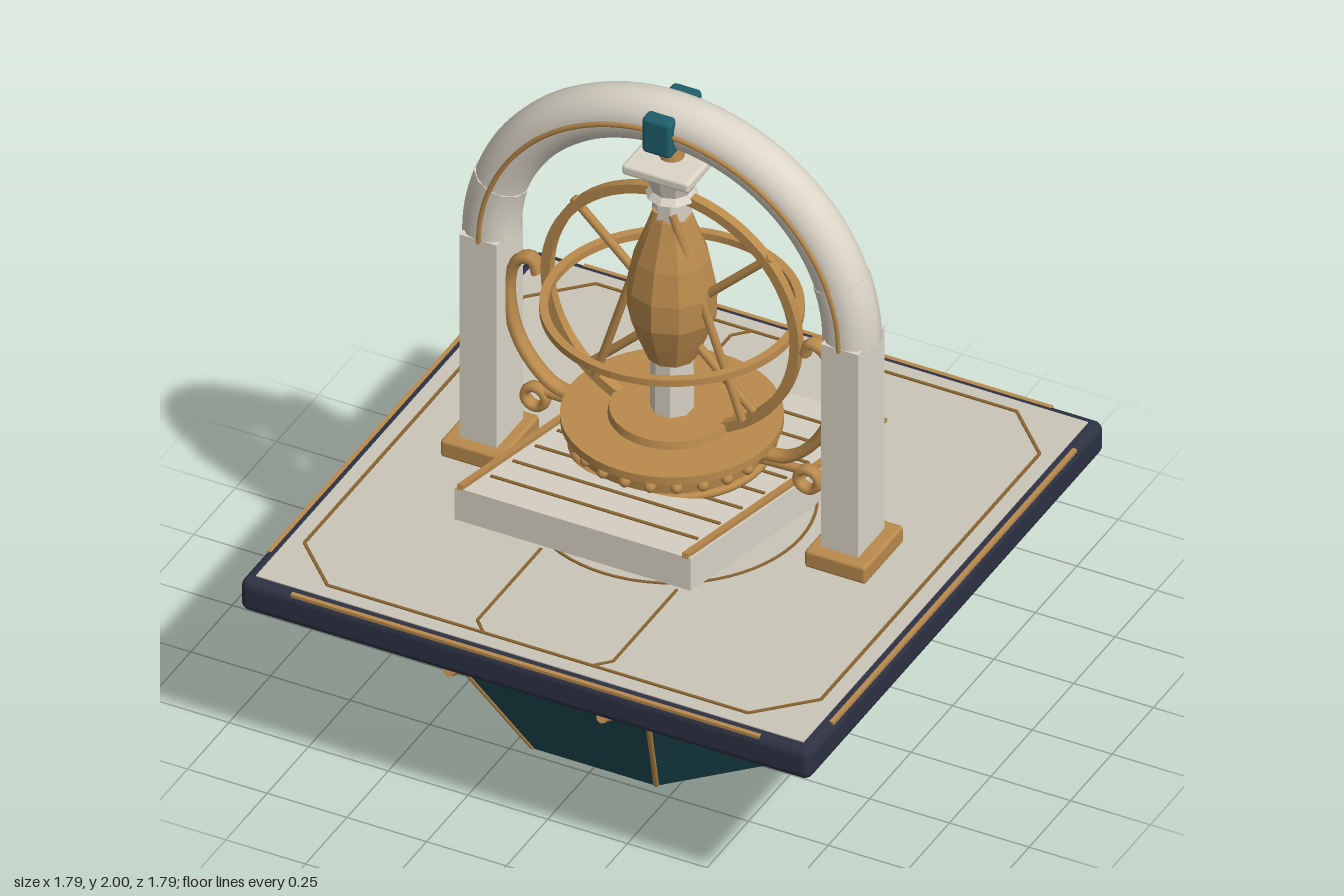
import * as THREE from 'three';
import { RoundedBoxGeometry } from 'three/addons/geometries/RoundedBoxGeometry.js';

const V = (x, y, z) => new THREE.Vector3(x, y, z);

export function createModel() {
  const model = new THREE.Group();
  const mat = (name, color, extra = {}) => {
    const m = new THREE.MeshStandardMaterial({ color, ...extra });
    m.name = name;
    return m;
  };
  const navy = mat('navy', 0x2d3243);
  const teal = mat('dark teal', 0x1f4d55, { flatShading: true });
  const clasp = mat('clasp teal', 0x1f5f6b);
  const stone = mat('deck stone', 0xcac5b8);
  const marble = mat('marble', 0xdcd6c8);
  const marbleFlat = mat('faceted marble', 0xdad4c7, { flatShading: true });
  const brass = mat('brass', 0xb98a4c);
  const brassFlat = mat('faceted brass', 0xb98a4d, { flatShading: true });
  const inlay = mat('dark brass inlay', 0x8a6430);

  const add = (name, geo, material, x = 0, y = 0, z = 0, parent = model) => {
    const m = new THREE.Mesh(geo, material);
    m.name = name;
    m.position.set(x, y, z);
    parent.add(m);
    return m;
  };
  const box = (name, w, h, d, material, x, y, z) => add(name, new THREE.BoxGeometry(w, h, d), material, x, y, z);
  // Straight rectangular strip between two points
  const bar = (name, a, b, w, h, material) => {
    const m = add(name, new THREE.BoxGeometry(w, h, a.distanceTo(b)), material);
    m.position.copy(a).lerp(b, 0.5);
    m.lookAt(b);
    return m;
  };
  // Round rod between two points
  const rod = (name, a, b, r, material, sides = 8) => {
    const m = add(name, new THREE.CylinderGeometry(r, r, a.distanceTo(b), sides), material);
    m.position.copy(a).lerp(b, 0.5);
    m.quaternion.setFromUnitVectors(V(0, 1, 0), b.clone().sub(a).normalize());
    return m;
  };
  // Flat-sided ring lying in the xy plane
  const band = (name, outer, inner, depth, material) => {
    const s = new THREE.Shape().absarc(0, 0, outer, 0, Math.PI * 2);
    s.holes.push(new THREE.Path().absarc(0, 0, inner, 0, Math.PI * 2, true));
    const g = new THREE.ExtrudeGeometry(s, { depth, bevelEnabled: false, curveSegments: 32 });
    return add(name, g.translate(0, 0, -depth / 2), material);
  };

  // Octagonal basin with ribs along its edges
  const basin = new THREE.CylinderGeometry(0.84, 0.508, 0.51, 8).rotateY(Math.PI / 8);
  add('basin', basin, teal, 0, 0.255, 0);
  for (let i = 0; i < 8; i++) {
    const a = (i + 0.5) * Math.PI / 4, s = Math.sin(a), c = Math.cos(a);
    rod('basinRib', V(0.508 * s, 0.004, 0.508 * c), V(0.84 * s, 0.51, 0.84 * c), 0.008, brass, 6);
  }

  // Slab, deck and edge trim
  add('slab', new RoundedBoxGeometry(1.79, 0.107, 1.79, 3, 0.028), navy, 0, 0.5635, 0);
  box('deck', 1.718, 0.008, 1.718, stone, 0, 0.616, 0);
  for (const s of [-1, 1]) {
    box('edgeTrim', 1.47, 0.014, 0.014, brass, 0, 0.609, s * 0.882);
    box('edgeTrim', 0.014, 0.014, 1.47, brass, s * 0.882, 0.609, 0);
    for (const x of [-0.24, 0.24])
      rod('underBracket', V(x, 0.515, s * 0.885), V(x, 0.455, s * 0.75), 0.018, brass);
  }

  // Deck inlays
  const top = 0.621;
  const oct = [[-0.66, -0.81], [0.66, -0.81], [0.81, -0.66], [0.81, 0.66], [0.66, 0.81], [-0.66, 0.81], [-0.81, 0.66], [-0.81, -0.66]];
  oct.forEach(([x, z], i) => {
    const [x2, z2] = oct[(i + 1) % 8];
    bar('deckBorder', V(x, top, z), V(x2, top, z2), 0.009, 0.006, inlay);
  });
  for (const sx of [-1, 1]) for (const sz of [-1, 1]) {
    bar('deckPath', V(sx * 0.213, top, sz * 0.38), V(sx * 0.213, top, sz * 0.765), 0.008, 0.006, inlay);
    bar('deckPath', V(sx * 0.213, top, sz * 0.765), V(sx * 0.17, top, sz * 0.81), 0.008, 0.006, inlay);
  }
  for (const r of [0.405, 0.28]) {
    const ring = band('deckCircle', r + 0.004, r - 0.004, 0.006, inlay);
    ring.rotation.x = Math.PI / 2;
    ring.position.y = top;
  }

  // Sloping ramp, high at the front
  const side = new THREE.Shape([[-0.6, 0.62], [-0.15, 0.62], [0.6, 0.81], [0.6, 0.92]].map(p => new THREE.Vector2(...p)));
  const ramp = new THREE.ExtrudeGeometry(side, { depth: 0.74, bevelEnabled: false });
  add('ramp', ramp.translate(0, 0, -0.37).rotateY(-Math.PI / 2), marble);
  const rampY = z => 0.77 + 0.25 * z;
  for (const x of [-0.353, 0.353])
    bar('rampRail', V(x, rampY(-0.6) + 0.004, -0.6), V(x, rampY(0.6) + 0.004, 0.6), 0.02, 0.016, brass);
  for (let i = 0; i < 8; i++) {
    const z = (i - 3.5) * 0.134;
    box('rampTread', 0.65, 0.008, 0.01, inlay, 0, rampY(z) + 0.001, z);
  }

  // Pedestal and round table
  box('pedestal', 0.22, 0.2, 0.2, marble, 0, 0.72, 0);
  const collar = add('pedestalCollar', new THREE.TorusGeometry(0.14, 0.015, 8, 32), brass, 0, 0.632, 0);
  collar.rotation.x = Math.PI / 2;
  add('tableDrum', new THREE.CylinderGeometry(0.285, 0.275, 0.08, 40), brass, 0, 0.855, 0);
  add('tableTop', new THREE.CylinderGeometry(0.312, 0.312, 0.025, 48), brass, 0, 0.904, 0);
  add('tableStep', new THREE.CylinderGeometry(0.175, 0.18, 0.024, 40), brass, 0, 0.928, 0);
  const lip = add('tableLip', new THREE.TorusGeometry(0.28, 0.013, 8, 40), brass, 0, 0.825, 0);
  lip.rotation.x = Math.PI / 2;
  for (let i = 0; i < 24; i++) {
    const a = i * Math.PI / 12;
    add('tableBead', new THREE.SphereGeometry(0.018, 8, 6), brass, 0.285 * Math.sin(a), 0.862, 0.285 * Math.cos(a));
  }

  // Central shaft, faceted body and capital
  add('shaft', new THREE.CylinderGeometry(0.055, 0.062, 0.74, 8).rotateY(Math.PI / 8), marbleFlat, 0, 1.31, 0);
  const lathe = pts => new THREE.LatheGeometry(pts.map(p => new THREE.Vector2(...p)), 10);
  add('body', lathe([[0, 1.12], [0.072, 1.12], [0.1, 1.19], [0.127, 1.27], [0.128, 1.36], [0.108, 1.46], [0.075, 1.55], [0.058, 1.6], [0.03, 1.64], [0, 1.64]]), brassFlat);
  add('capital', lathe([[0.05, 1.58], [0.05, 1.66], [0.075, 1.67], [0.06, 1.69], [0.085, 1.765], [0, 1.765]]), marbleFlat);
  add('capitalSlab', new RoundedBoxGeometry(0.21, 0.034, 0.21, 2, 0.01), marble, 0, 1.78, 0);
  add('finial', new THREE.CylinderGeometry(0.024, 0.036, 0.08, 12), brass, 0, 1.835, 0);

  // Armillary rings and rods
  band('uprightRing', 0.405, 0.376, 0.03, brass).position.y = 1.28;
  const level = band('levelRing', 0.37, 0.345, 0.022, brass);
  level.rotation.x = Math.PI / 2;
  level.position.y = 1.28;
  for (const s of [-1, 1]) {
    rod('crossRod', V(-s * 0.26, 1.0, 0), V(s * 0.31, 1.55, 0), 0.013, brass);
    rod('bodyStay', V(s * 0.025, 1.63, 0.045), V(s * 0.23, 0.98, 0.02), 0.013, brass);
  }

  // Side scrolls joining the table to the pillars
  for (const s of [-1, 1]) {
    const path = [[0.42, 1.26], [0.435, 1.3], [0.475, 1.29], [0.505, 1.23], [0.51, 1.14], [0.485, 1.03], [0.43, 0.94], [0.36, 0.885], [0.27, 0.875]];
    const curve = new THREE.CatmullRomCurve3(path.map(([x, y]) => V(s * x, y, 0)));
    const scroll = add('sideScroll', new THREE.TubeGeometry(curve, 40, 0.017, 8), brass);
    scroll.scale.z = 1.6;
    const curl = add('scrollCurl', new THREE.TorusGeometry(0.033, 0.014, 8, 20), brass, s * 0.428, 0.83, 0);
    curl.scale.z = 1.6;
    rod('curlArm', V(s * 0.26, 0.85, 0), V(s * 0.405, 0.855, 0), 0.014, brass);
  }

  // Pillars with plinths, and the sleeves that start the arch
  const R = 0.565, archY = 1.36;
  const arc = (r, from, to, z = 0) => {
    const pts = [];
    for (let i = 0; i <= 24; i++) {
      const a = from + (to - from) * i / 24;
      pts.push(V(r * Math.cos(a), archY + r * Math.sin(a), z));
    }
    return new THREE.CatmullRomCurve3(pts);
  };
  for (const s of [-1, 1]) {
    add('plinth', new RoundedBoxGeometry(0.192, 0.058, 0.235, 2, 0.01), brass, s * 0.571, 0.647, 0);
    box('pillar', 0.117, 0.7, 0.16, marble, s * 0.567, 1.02, 0);
    const from = s > 0 ? 0 : Math.PI, to = s > 0 ? 0.34 : Math.PI - 0.34;
    add('archSleeve', new THREE.TubeGeometry(arc(R, from, to), 6, 0.083, 12), marble);
    for (const [a, dir] of [[from, -s], [to, s]]) {
      // Cap discs closing the sleeve ends
      const cap = add('sleeveCap', new THREE.CylinderGeometry(0.083, 0.083, 0.006, 12), marble,
        R * Math.cos(a), archY + R * Math.sin(a), 0);
      cap.rotation.z = a + (dir > 0 ? 0 : Math.PI);
    }
  }

  // Arch with brass lines on both faces and a clasp at the crown
  add('arch', new THREE.TubeGeometry(arc(R, 0.3, Math.PI - 0.3), 48, 0.079, 20), marble);
  for (const z of [-0.08, 0.08])
    add('archLine', new THREE.TubeGeometry(arc(R, 0, Math.PI, z), 64, 0.008, 6), brass);
  add('crownClasp', new RoundedBoxGeometry(0.092, 0.12, 0.2, 2, 0.014), clasp, 0, 1.916, 0);

  return model;
}
